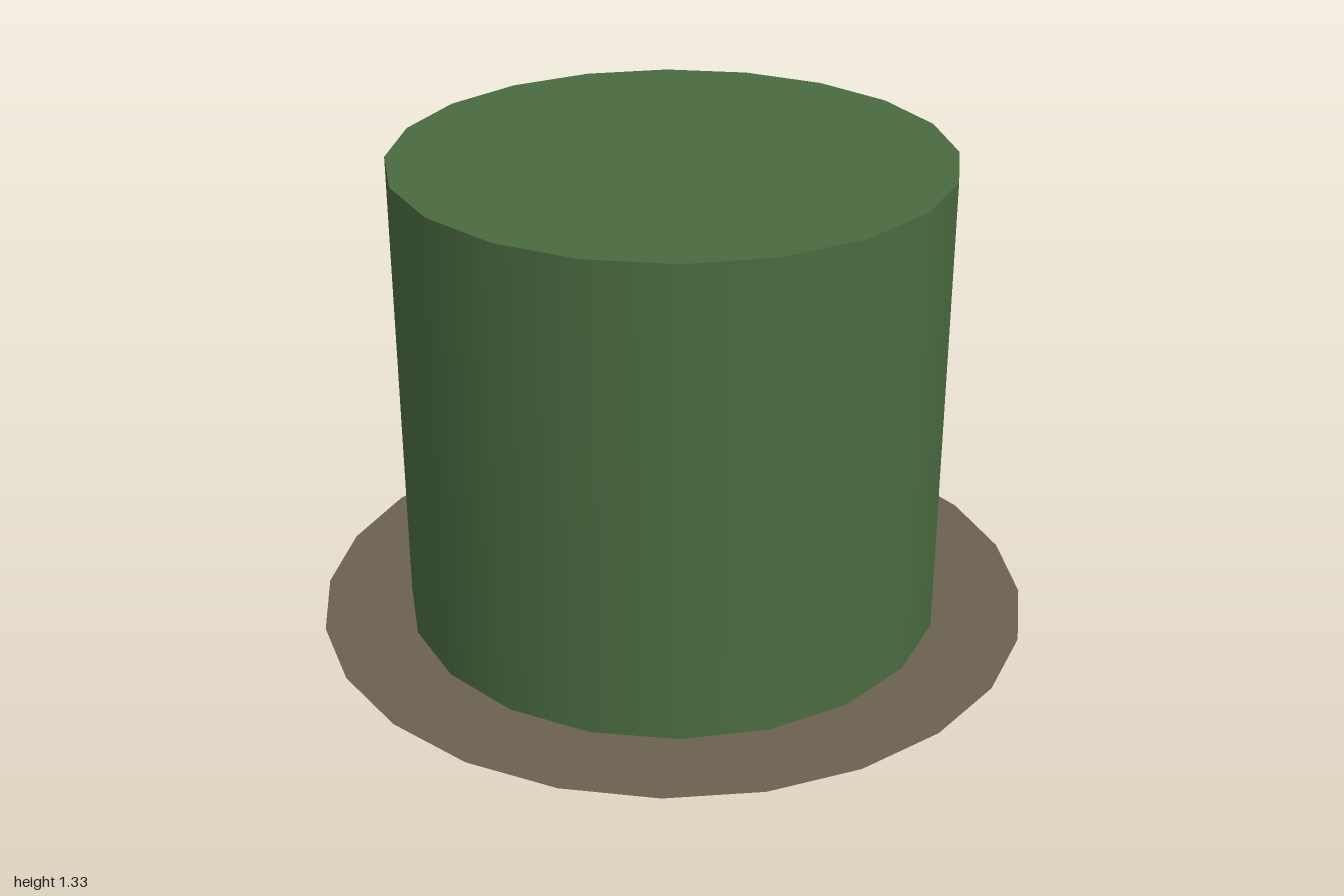
import * as THREE from 'three';

const GREEN = 0x4a6b40, BROWN = 0x6b6150;
const DISC_Y = 0.014, RADIUS = 0.755, TOP = 1.333;

function createPart(name, geometry, color, y, side = THREE.FrontSide) {
  const mesh = new THREE.Mesh(geometry, new THREE.MeshStandardMaterial({ color, side }));
  mesh.name = name;
  mesh.position.y = y;
  return mesh;
}

// Quarter-ring pad, extruded downwards
function padGeometry(inner, outer, depth) {
  const shape = new THREE.Shape();
  shape.absarc(0, 0, outer, 0, Math.PI / 2, false);
  shape.absarc(0, 0, inner, Math.PI / 2, 0, true);
  shape.closePath();
  return new THREE.ExtrudeGeometry(shape, { depth, bevelEnabled: false, curveSegments: 10 })
    .rotateX(Math.PI / 2);
}

export function createModel() {
  const group = new THREE.Group();
  group.name = 'drum';

  // Main drum
  const height = TOP - DISC_Y - 0.001;
  group.add(createPart('body', new THREE.CylinderGeometry(RADIUS, RADIUS, height, 20),
    GREEN, TOP - height / 2));

  // Paper-thin base disc
  group.add(createPart('baseDisc', new THREE.CircleGeometry(1, 24).rotateX(-Math.PI / 2),
    BROWN, DISC_Y, THREE.DoubleSide));

  // Underside rim line
  group.add(createPart('undersideRing',
    new THREE.RingGeometry(0.715, RADIUS, 40).rotateX(Math.PI / 2), GREEN, DISC_Y - 0.003));

  // Two opposite pads the model stands on
  const pad = padGeometry(0.35, 0.695, DISC_Y);
  for (const [name, angle] of [['frontLeftPad', 0], ['backRightPad', Math.PI]]) {
    const mesh = createPart(name, pad, GREEN, DISC_Y);
    mesh.rotation.y = angle;
    group.add(mesh);
  }
  return group;
}
